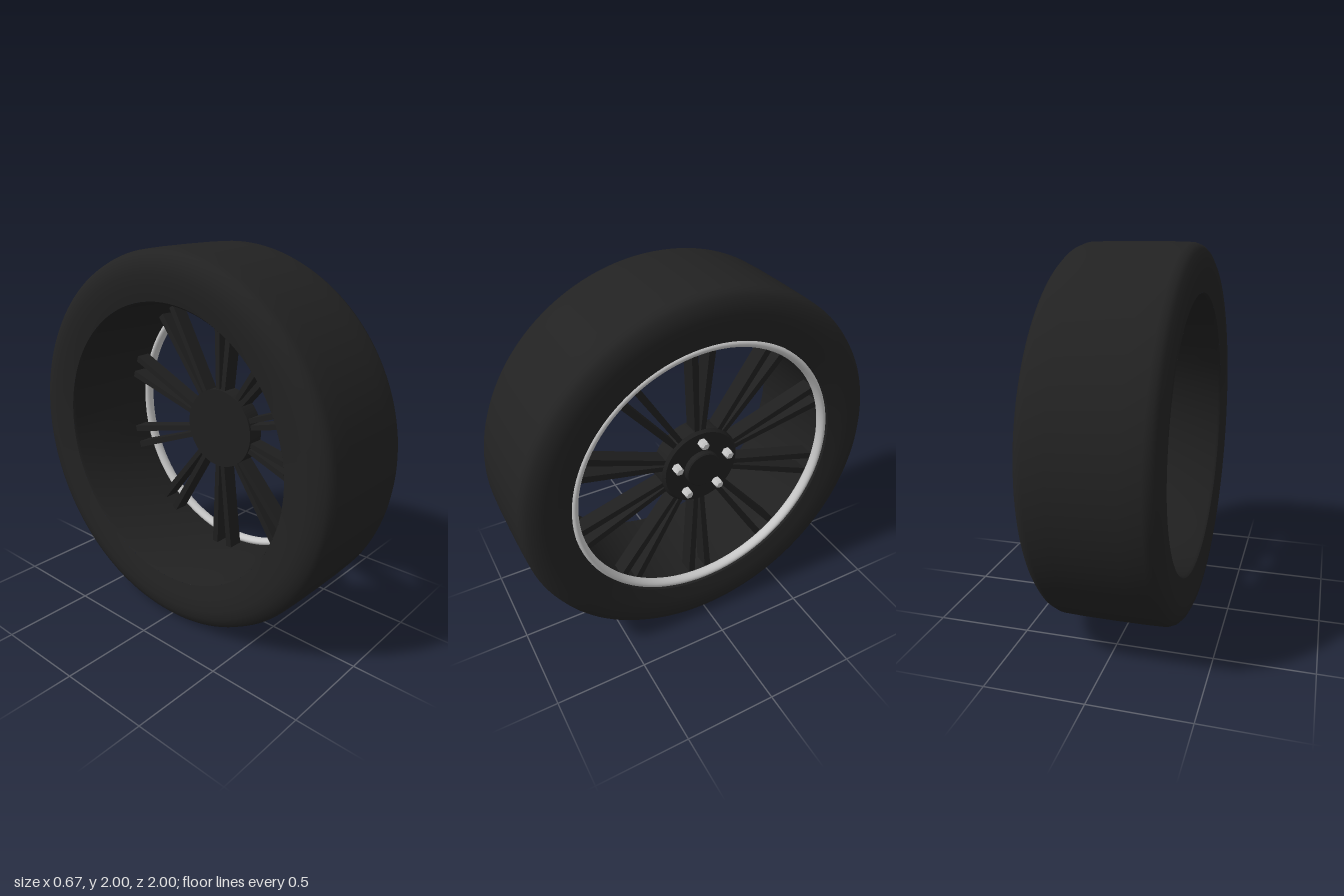
import * as THREE from 'three';
import { toCreasedNormals } from 'three/addons/utils/BufferGeometryUtils.js';

const material = (name, color, extra = {}) =>
  new THREE.MeshStandardMaterial({ name, color, ...extra });

// Surface of revolution about the axle (local y); points are [radius, axial].
const lathe = (points, segments = 96) =>
  new THREE.LatheGeometry(points.map(([r, a]) => new THREE.Vector2(r, a)), segments);

export function createModel() {
  const rubber = material('black rubber', 0x222222);
  const barrelBlack = material('barrel black', 0x202020, { side: THREE.DoubleSide });
  const spokeBlack = material('spoke black', 0x1f1f1f);
  const silver = material('silver', 0xc6c6c6);

  const model = new THREE.Group();
  model.name = 'wheel';
  const axle = new THREE.Group(); // local y becomes world +x (outer side)
  axle.name = 'wheelAssembly';
  axle.rotation.z = -Math.PI / 2;
  axle.position.y = 1;
  model.add(axle);

  const add = (name, geometry, mat, parent = axle) => {
    const mesh = new THREE.Mesh(geometry, mat);
    mesh.name = name;
    parent.add(mesh);
    return mesh;
  };

  // Tyre: one half profile from tread centre to bead, mirrored
  const half = [[1, 0], [0.999, 0.16], [0.996, 0.262], [0.984, 0.292], [0.965, 0.311],
    [0.93, 0.327], [0.885, 0.333], [0.82, 0.327], [0.748, 0.31]];
  const mirrored = half.slice(1).reverse().map(([r, a]) => [r, -a]);
  add('tyre', lathe([...mirrored, ...half], 128), rubber);

  // Rim barrel: inner wall with a small lip at the back
  add('rimBarrel', toCreasedNormals(
    lathe([[0.748, 0.31], [0.742, 0.27], [0.738, 0.2], [0.738, -0.295], [0.748, -0.31]]), 0.6), barrelBlack);

  // Bright rim ring with an oval section
  const ring = [];
  for (let i = 0; i <= 16; i++) {
    const t = (i / 16) * Math.PI * 2;
    ring.push([0.727 + 0.021 * Math.cos(t), 0.277 + 0.03 * Math.sin(t)]);
  }
  add('rimRing', lathe(ring), silver);

  // Hub with bevelled front edge, and centre cap
  add('hub', toCreasedNormals(
    lathe([[0, 0.11], [0.222, 0.11], [0.222, 0.205], [0.208, 0.222], [0, 0.222]], 48), 0.5), spokeBlack);
  add('centreCap', toCreasedNormals(
    lathe([[0, 0.2], [0.1, 0.2], [0.1, 0.25], [0.094, 0.256], [0, 0.256]], 40), 0.5), spokeBlack);

  // Spokes: boxes that widen and splay from hub to rim
  const mix = THREE.MathUtils.lerp;
  const spokeGeometry = (side) => {
    const g = new THREE.BoxGeometry(1, 1, 1);
    const p = g.attributes.position;
    for (let i = 0; i < p.count; i++) {
      const t = p.getX(i) + 0.5;
      p.setXYZ(i,
        mix(0.2, 0.736, t),
        mix(0.163, 0.188, t) + p.getY(i) * 0.085,
        side * mix(0.017, 0.052, t) + p.getZ(i) * mix(0.027, 0.037, t));
    }
    g.computeVertexNormals();
    return g;
  };
  const spokes = [-1, 1].map(spokeGeometry);
  for (let i = 0; i < 10; i++) {
    const pair = new THREE.Group();
    pair.name = 'spokePair';
    pair.rotation.y = (i * Math.PI) / 5;
    spokes.forEach((g) => add('spoke', g, spokeBlack, pair));
    axle.add(pair);
  }

  // Five hexagonal wheel bolts with bevelled heads, first one at the top
  const bolt = toCreasedNormals(
    lathe([[0.025, 0.21], [0.025, 0.258], [0.017, 0.27], [0, 0.27]], 6), 0.3);
  for (let i = 0; i < 5; i++) {
    const a = (i * Math.PI * 2) / 5;
    add('wheelBolt', bolt, silver)
      .position.set(-0.155 * Math.cos(a), 0, 0.155 * Math.sin(a));
  }

  return model;
}
